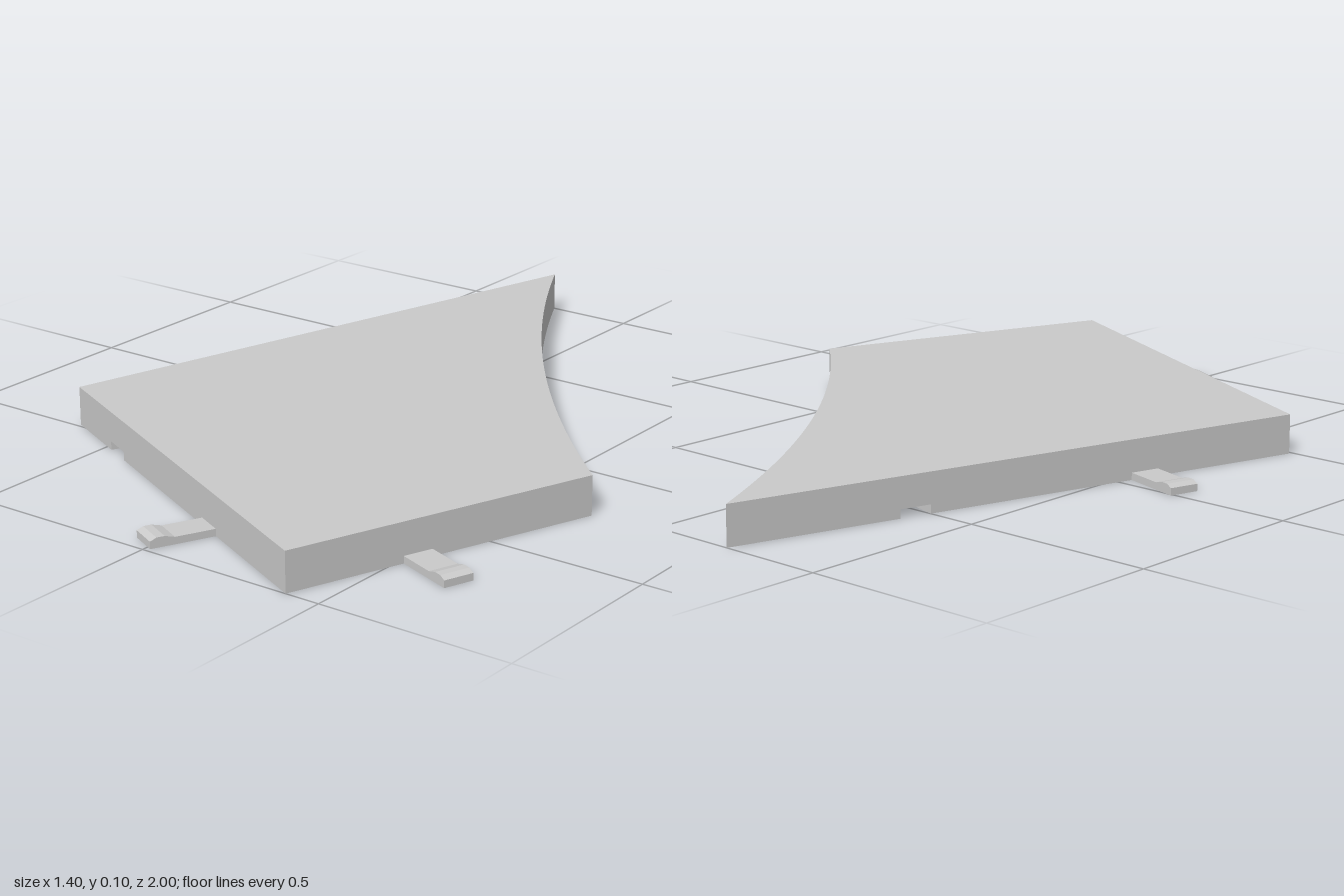
import * as THREE from 'three';

const V = (x, z) => new THREE.Vector2(x, z);

// Plan corners as (x, z): tip, end of the concave edge, front corner, side corner
const A = V(-0.23, -1), C = V(0.697, 0.235), D = V(0.41, 1), E = V(-0.658, 0.49);
const arc = new THREE.QuadraticBezierCurve(A, V(0.125, -0.287), C);
const RIM = 0.19, ARC_RIM = 0.06, RIB = 0.045;
const SLOT_TOP = 0.022, SKIN_Y = 0.075, TOP = 0.1;

// Direction, inward normal and a point along a straight edge
function edge(p, q, t) {
  const dir = q.clone().sub(p).normalize();
  return { dir, inward: V(-dir.y, dir.x), mid: p.clone().lerp(q, t) };
}

// Keep the part of a polygon where n . p >= c
function clip(poly, n, c) {
  const out = [];
  poly.forEach((p, i) => {
    const q = poly[(i + 1) % poly.length];
    const a = n.dot(p) - c, b = n.dot(q) - c;
    if (a >= 0) out.push(p);
    if ((a >= 0) !== (b >= 0)) out.push(p.clone().lerp(q, a / (a - b)));
  });
  return out;
}

// Upright slab from a plan outline; holes wind the other way so their walls face inward
const toShape = (pts) => pts.map((p) => V(p.x, -p.y));
function slab(name, pts, holes, y0, y1, material) {
  const shape = new THREE.Shape(toShape(pts));
  holes.forEach((h) => shape.holes.push(new THREE.Path(toShape(h).reverse())));
  const geo = new THREE.ExtrudeGeometry(shape, { depth: y1 - y0, bevelEnabled: false });
  geo.rotateX(-Math.PI / 2).translate(0, y0, 0);
  const mesh = new THREE.Mesh(geo, material);
  mesh.name = name;
  return mesh;
}

// Four points that cut a slot into a straight edge
function slot(p, q, t) {
  const { dir, inward, mid } = edge(p, q, t);
  const at = (s, d) => mid.clone().addScaledVector(dir, s).addScaledVector(inward, d);
  return [at(-0.04, 0), at(-0.04, 0.17), at(0.04, 0.17), at(0.04, 0)];
}

// Hollow cells under the skin, divided by a square grid of ribs
function makeCells() {
  const inner = arc.getPoints(32).map((p, i) => {
    const t = arc.getTangent(i / 32);
    return p.clone().add(V(-t.y, t.x).multiplyScalar(ARC_RIM));
  });
  let pocket = [...inner, D, E];
  [[C, D], [D, E], [E, A]].forEach(([p, q]) => {
    const n = edge(p, q, 0).inward;
    pocket = clip(pocket, n, n.dot(p) + RIM);
  });
  const xs = [-2, -0.28, 0.07, 2], zs = [-2, -0.57, -0.18, 0.22, 2];
  const cells = [];
  for (let i = 0; i < xs.length - 1; i++) {
    for (let j = 0; j < zs.length - 1; j++) {
      let cell = clip(pocket, V(1, 0), xs[i] + RIB / 2);
      cell = clip(cell, V(-1, 0), -xs[i + 1] + RIB / 2);
      cell = clip(cell, V(0, 1), zs[j] + RIB / 2);
      cell = clip(cell, V(0, -1), -zs[j + 1] + RIB / 2);
      if (cell.length > 2 && Math.abs(THREE.ShapeUtils.area(cell)) > 0.0008) cells.push(cell);
    }
  }
  return cells;
}

// Clip tongue with a small raised catch near its end
function tab(p, q, t, material) {
  const { inward, mid } = edge(p, q, t);
  const profile = new THREE.Shape([
    V(0, 0), V(0.161, 0), V(0.161, 0.018), V(0.145, 0.025),
    V(0.125, 0.025), V(0.1, 0.018), V(0, 0.018),
  ]);
  const geo = new THREE.ExtrudeGeometry(profile, { depth: 0.076, bevelEnabled: false });
  geo.translate(0, 0, -0.038);
  const mesh = new THREE.Mesh(geo, material);
  mesh.name = 'connectorTab';
  mesh.position.set(mid.x, 0, mid.y);
  mesh.rotation.y = Math.atan2(inward.y, -inward.x);
  return mesh;
}

export function createModel() {
  const group = new THREE.Group();
  group.name = 'floorTile';
  const grey = new THREE.MeshStandardMaterial({ color: 0xcacaca });
  grey.name = 'grey';

  const curve = arc.getPoints(32);
  const outline = [...curve, D, E];
  const slotted = [...curve, D, ...slot(D, E, 0.797), E, ...slot(E, A, 0.69)];
  const cells = makeCells();

  // Slotted foot, ribbed frame and solid top skin
  group.add(slab('slottedBase', slotted, cells, 0, SLOT_TOP, grey));
  group.add(slab('ribbedFrame', outline, cells, SLOT_TOP, SKIN_Y, grey));
  group.add(slab('topSkin', outline, [], SKIN_Y, TOP, grey));

  // One tab on each straight edge
  [[C, D, 0.583], [D, E, 0.339], [E, A, 0.28]].forEach(([p, q, t]) => group.add(tab(p, q, t, grey)));
  return group;
}
